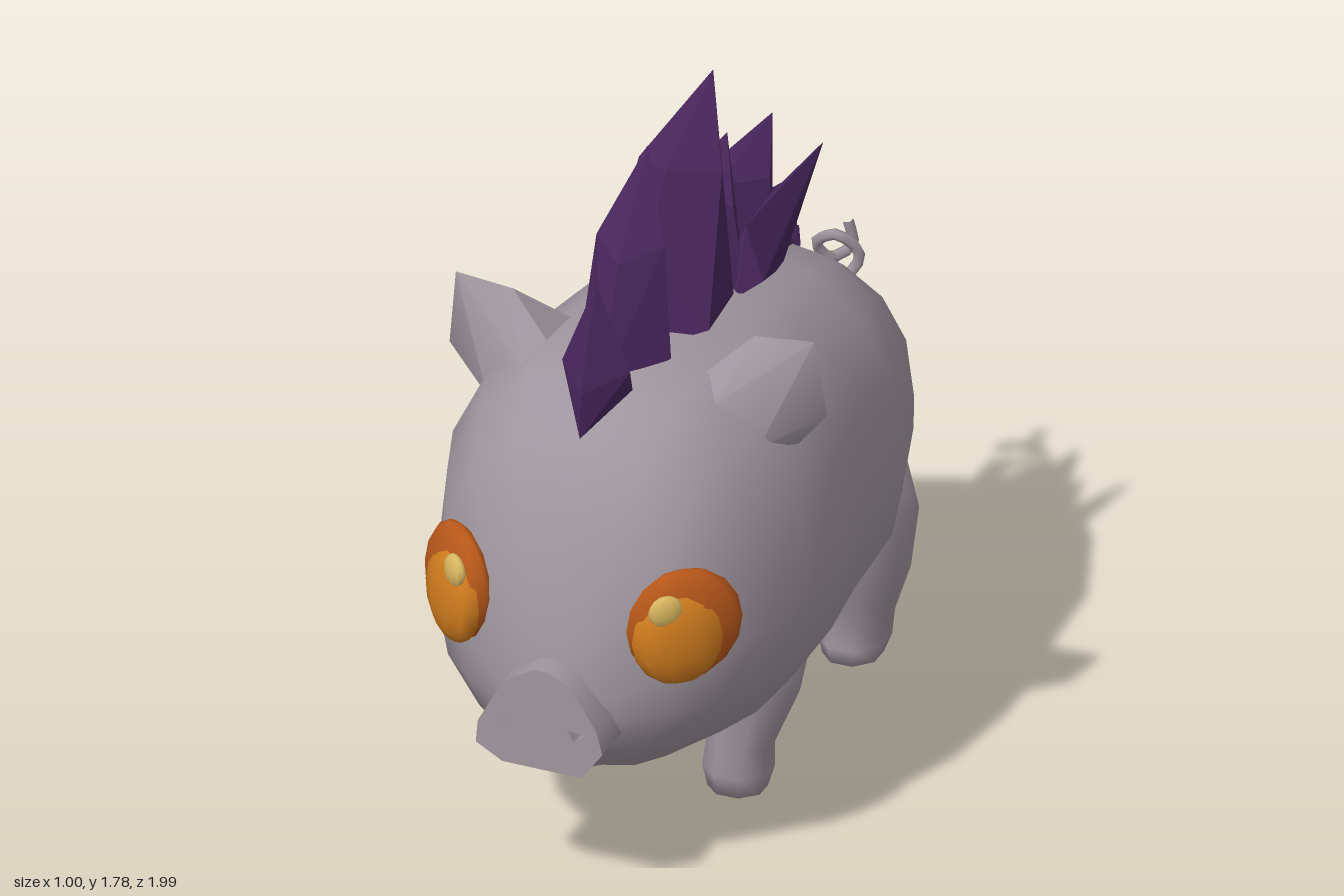
import * as THREE from 'three';
import { toCreasedNormals } from 'three/addons/utils/BufferGeometryUtils.js';
import { ConvexGeometry } from 'three/addons/geometries/ConvexGeometry.js';

const V = (x, y, z) => new THREE.Vector3(x, y, z);

function material(name, color) {
  const m = new THREE.MeshStandardMaterial({ color });
  m.name = name;
  return m;
}

// Closed smooth skin over equal-sized rings of points
function loft(rings) {
  const n = rings[0].length, pos = [], idx = [];
  rings.forEach(r => r.forEach(p => pos.push(p.x, p.y, p.z)));
  for (let i = 0; i < rings.length - 1; i++) {
    for (let j = 0; j < n; j++) {
      const a = i * n + j, b = i * n + (j + 1) % n;
      idx.push(a, b, a + n, b, b + n, a + n);
    }
  }
  [0, rings.length - 1].forEach((r, end) => {
    const c = rings[r].reduce((s, p) => s.add(p), V(0, 0, 0)).divideScalar(n);
    const k = pos.length / 3;
    pos.push(c.x, c.y, c.z);
    for (let j = 0; j < n; j++) {
      const a = r * n + j, b = r * n + (j + 1) % n;
      if (end) idx.push(k, a, b); else idx.push(k, b, a);
    }
  });
  const g = new THREE.BufferGeometry();
  g.setAttribute('position', new THREE.Float32BufferAttribute(pos, 3));
  g.setIndex(idx);
  g.computeVertexNormals();
  return g;
}

// Body ring: half ellipses above and below the widest height
function bodyRing([z, bottom, top, half, wide]) {
  return Array.from({ length: 16 }, (_, i) => {
    const t = i / 16 * Math.PI * 2, c = Math.cos(t), s = Math.sin(t);
    const p = s > 0 ? 0.85 : 1;
    const x = half * Math.sign(c) * Math.abs(c) ** p;
    return V(x, s > 0 ? wide + (top - wide) * s ** p : wide + (wide - bottom) * s, z);
  });
}

// Leg ring: flat ellipse at height y
function legRing([y, cx, cz, rx, rz], side) {
  return Array.from({ length: 8 }, (_, i) => {
    const t = (i + 0.5) / 8 * Math.PI * 2;
    return V(side * cx + rx * Math.cos(t), y, cz - rz * Math.sin(t));
  });
}

// Mane spike: side outline in [z, y], widened by [z, y, halfWidth] points
function spike(outline, widths, x = 0, tipX = x) {
  const tip = outline.reduce((a, b) => (b[1] > a[1] ? b : a));
  const pts = outline.map(p => V(p === tip ? tipX : x, p[1], p[0]));
  widths.forEach(([z, y, w]) => pts.push(V(x - w, y, z), V(x + w, y, z)));
  return new ConvexGeometry(pts);
}

export function createModel() {
  const model = new THREE.Group();
  const skin = material('grey skin', 0xa0969f);
  const hair = material('purple mane', 0x48265c);
  const orange = material('orange iris', 0xd07c1e);
  const rust = material('rust eye rim', 0xb8581a);
  const glint = material('pale eye glint', 0xd8b660);
  const add = (name, geometry, mat, parent = model) => {
    const mesh = new THREE.Mesh(geometry, mat);
    mesh.name = name;
    parent.add(mesh);
    return mesh;
  };

  // Body and head: z, bottom, top, half width, widest height
  add('body', loft([
    [-0.735, 0.6, 0.84, 0.08, 0.72], [-0.68, 0.42, 0.95, 0.22, 0.72],
    [-0.6, 0.31, 1.05, 0.33, 0.7], [-0.45, 0.24, 1.16, 0.39, 0.7],
    [-0.25, 0.2, 1.23, 0.45, 0.7], [0, 0.17, 1.28, 0.46, 0.7],
    [0.25, 0.2, 1.3, 0.5, 0.7], [0.45, 0.21, 1.31, 0.49, 0.7],
    [0.6, 0.235, 1.28, 0.44, 0.68], [0.74, 0.28, 1.19, 0.38, 0.66],
    [0.83, 0.33, 1.0, 0.29, 0.64], [0.88, 0.38, 0.86, 0.2, 0.6],
    [0.93, 0.43, 0.7, 0.1, 0.55],
  ].map(bodyRing)), skin);

  // Snout with two small nostrils
  const snout = new THREE.Shape([
    [-0.17, 0.44], [-0.1, 0.4], [0.11, 0.395], [0.165, 0.47], [0.15, 0.53],
    [0.08, 0.64], [0.02, 0.67], [-0.02, 0.67], [-0.1, 0.62], [-0.165, 0.5],
  ].map(p => new THREE.Vector2(...p)));
  for (const s of [-1, 1]) {
    snout.holes.push(new THREE.Path([[0.07, 0.52], [0.12, 0.515], [0.09, 0.49]]
      .map(([x, y]) => new THREE.Vector2(s * x, y))));
  }
  const snoutGeo = new THREE.ExtrudeGeometry(snout, { depth: 0.16, bevelEnabled: false });
  snoutGeo.translate(0, 0, 0.84);
  add('snout', toCreasedNormals(snoutGeo, 0.9), skin);

  // Legs: y, centre x, centre z, radius x, radius z
  const frontLeg = [
    [0.01, 0.205, 0.23, 0.075, 0.07], [0.07, 0.21, 0.235, 0.09, 0.085],
    [0.13, 0.21, 0.225, 0.085, 0.085], [0.28, 0.245, 0.225, 0.115, 0.105],
    [0.4, 0.25, 0.21, 0.13, 0.13], [0.52, 0.25, 0.2, 0.1, 0.1],
  ];
  const backLeg = [
    [0.01, 0.205, -0.51, 0.075, 0.08], [0.06, 0.21, -0.51, 0.09, 0.1],
    [0.12, 0.21, -0.53, 0.09, 0.095], [0.25, 0.23, -0.51, 0.115, 0.14],
    [0.42, 0.23, -0.5, 0.14, 0.16], [0.6, 0.22, -0.48, 0.12, 0.13],
  ];

  for (const s of [-1, 1]) {
    const side = s > 0 ? 'left' : 'right';
    add(side + 'FrontLeg', loft(frontLeg.map(r => legRing(r, s))), skin);
    add(side + 'BackLeg', loft(backLeg.map(r => legRing(r, s))), skin);

    // Blunt wedge ears
    const ear = new ConvexGeometry([
      [0.32, 1.37, 0.4], [0.475, 1.38, 0.39], [0.5, 1.17, 0.37], [0.42, 1.07, 0.36],
      [0.2, 1.26, 0.45], [0.26, 1.22, 0.5], [0.36, 1.1, 0.47],
      [0.2, 1.26, 0.3], [0.36, 1.1, 0.29],
    ].map(([x, y, z]) => V(s * x, y, z)));
    add(side + 'Ear', toCreasedNormals(ear, 0.8), skin);

    // Bulging eyes: rim, iris and glint
    const eye = new THREE.Group();
    eye.name = side + 'Eye';
    eye.position.set(s * 0.3, 0.765, 0.8);
    eye.lookAt(s * 0.95, 0.815, 1.56);
    model.add(eye);
    [
      ['eyeRim', rust, [0, 0, 0], [0.15, 0.15, 0.05]],
      ['iris', orange, [-0.02, -0.025, 0.018], [0.122, 0.125, 0.05]],
      ['glint', glint, [-0.06, 0.06, 0.042], [0.046, 0.043, 0.02]],
    ].forEach(([name, mat, [x, y, z], scale]) => {
      const part = add(name, new THREE.SphereGeometry(1, 10, 8), mat, eye);
      part.position.set(s * x, y, z);
      part.scale.set(...scale);
    });
  }

  // Mane spikes from brow to rump
  const mane = new THREE.Group();
  mane.name = 'mane';
  model.add(mane);
  [
    [[[0.745, 1.19], [0.74, 1.31], [0.64, 1.57], [0.57, 1.4], [0.54, 1.24]],
      [[0.64, 1.34, 0.09], [0.6, 1.27, 0.08]]],
    [[[0.6, 1.25], [0.5, 1.55], [0.31, 1.79], [0.3, 1.55], [0.33, 1.25]],
      [[0.45, 1.29, 0.12], [0.42, 1.58, 0.09]]],
    [[[0.38, 1.25], [0.3, 1.5], [0.19, 1.66], [-0.11, 1.79], [-0.02, 1.5], [0, 1.25]],
      [[0.28, 1.29, 0.15], [0.05, 1.27, 0.12], [0.1, 1.63, 0.11]]],
    [[[0.1, 1.25], [0.05, 1.5], [-0.2, 1.57], [-0.12, 1.43], [-0.15, 1.22]],
      [[0, 1.27, 0.13], [-0.02, 1.47, 0.09]]],
    [[[-0.1, 1.2], [-0.14, 1.45], [-0.35, 1.47], [-0.49, 1.48], [-0.38, 1.33], [-0.38, 1.18]],
      [[-0.2, 1.25, 0.12], [-0.28, 1.42, 0.08]]],
    [[[-0.2, 1.15], [-0.25, 1.29], [-0.45, 1.28], [-0.64, 1.23], [-0.55, 1.15], [-0.52, 1.06]],
      [[-0.4, 1.19, 0.1], [-0.48, 1.22, 0.07]]],
    [[[-0.45, 1.05], [-0.5, 1.17], [-0.66, 1.08], [-0.58, 1.03]],
      [[-0.55, 1.09, 0.05]]],
  ].forEach(([outline, widths]) => add('maneSpike', spike(outline, widths), hair, mane));
  for (const s of [-1, 1]) {
    add('sideManeSpike', spike(
      [[0.03, 1.25], [-0.03, 1.42], [-0.2, 1.43], [-0.38, 1.49], [-0.25, 1.32], [-0.26, 1.19]],
      [[-0.02, 1.28, 0.05], [-0.2, 1.35, 0.05]], s * 0.12, s * 0.18), hair, mane);
  }

  // Tapering tail stem and curl
  const stem = new THREE.CylinderGeometry(0.03, 0.016, 0.21, 6).rotateX(Math.PI / 2);
  add('tailStem', stem.translate(0, 0.815, -0.8), skin);
  const curl = new THREE.CatmullRomCurve3([
    V(0, 0.81, -0.86), V(0.04, 0.84, -0.92), V(0.05, 0.89, -0.92), V(0, 0.94, -0.89),
    V(-0.055, 0.9, -0.9), V(-0.03, 0.85, -0.93), V(0.01, 0.87, -0.975), V(0, 0.94, -0.97),
  ]);
  add('tailCurl', new THREE.TubeGeometry(curl, 16, 0.015, 5), skin);

  return model;
}
